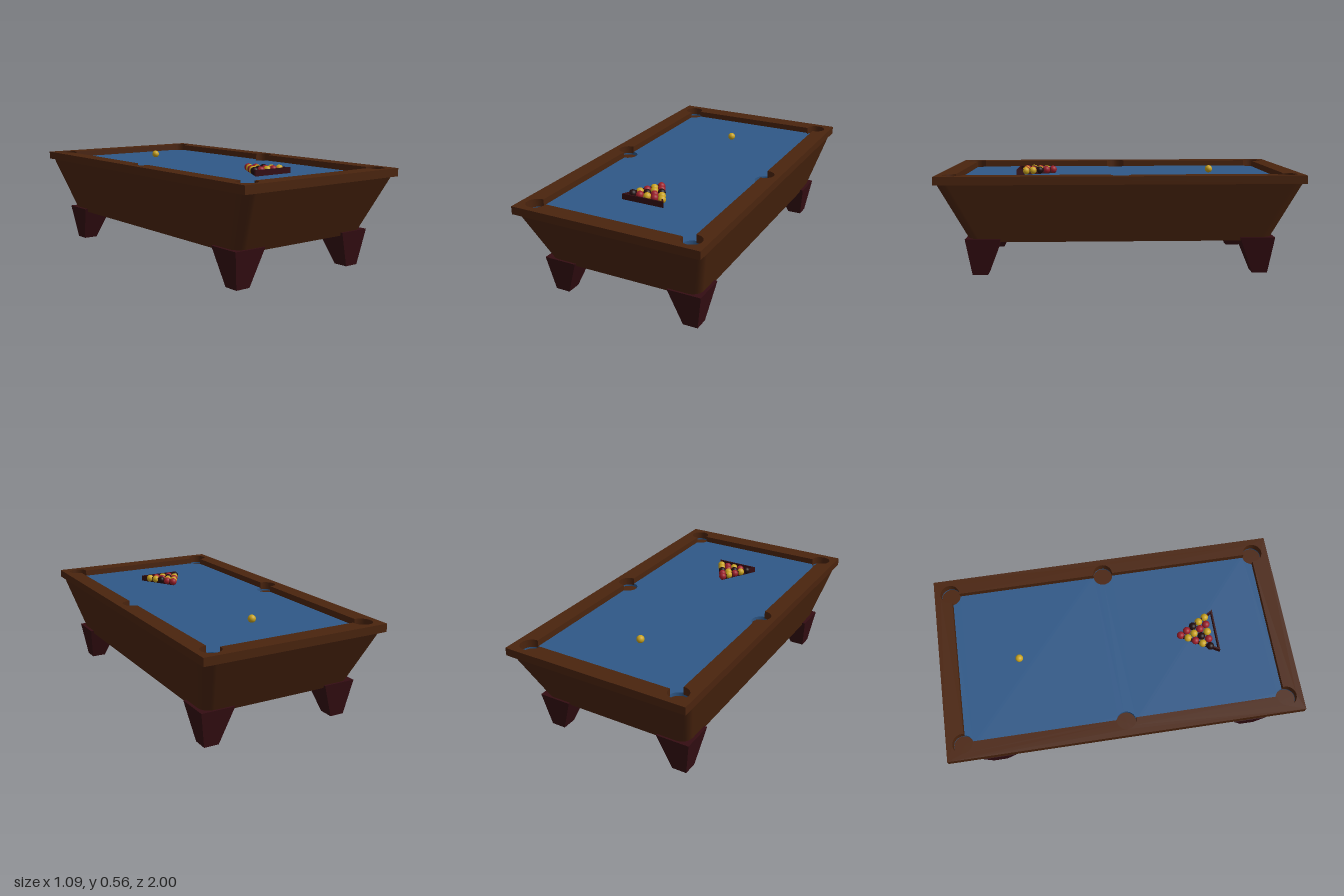
import * as THREE from 'three';

const mat = (name, color) => Object.assign(new THREE.MeshStandardMaterial({ color }), { name });

export function createModel() {
  const wood = mat('brown wood', 0x4a240e);
  const cloth = mat('blue cloth', 0x2f5887);
  const darkWood = mat('dark red wood', 0x340d12);
  const yellow = mat('yellow', 0xc9a31f);
  const red = mat('red', 0x9c1f2b);
  const black = mat('black', 0x200c0e);

  const table = new THREE.Group();
  table.name = 'poolTable';
  const add = (name, geometry, material, x = 0, y = 0, z = 0, parent = table) => {
    const mesh = new THREE.Mesh(geometry, material);
    mesh.name = name;
    mesh.position.set(x, y, z);
    parent.add(mesh);
    return mesh;
  };

  // Horizontal slab from a plan shape (shape y becomes z), hanging below y = 0
  const slab = (shape, depth) =>
    new THREE.ExtrudeGeometry(shape, { depth, bevelEnabled: false, curveSegments: 24 }).rotateX(Math.PI / 2);
  const rect = (w, d) => new THREE.Shape(
    [[-w, -d], [w, -d], [w, d], [-w, d]].map(([x, z]) => new THREE.Vector2(x, z)));

  const TOP = 0.555, BED = 0.52, R = 0.055;
  const PX = 0.455, PZ = 0.91;   // pocket centres
  const IX = 0.45, IZ = 0.9;     // inner edges of the rails
  const a = Math.asin((PX - IX) / R), b = Math.asin((PZ - IZ) / R), H = Math.PI / 2;

  // Rails: one frame whose opening bulges around the six pockets
  const opening = new THREE.Path();
  opening.absarc(PX, 0, R, -H - a, H + a, false);
  opening.absarc(PX, PZ, R, -H - a, 2 * H + b, false);
  opening.absarc(-PX, PZ, R, -b, 3 * H + a, false);
  opening.absarc(-PX, 0, R, H - a, 3 * H + a, false);
  opening.absarc(-PX, -PZ, R, H - a, 4 * H + b, false);
  opening.absarc(PX, -PZ, R, -2 * H - b, H + a, false);
  opening.closePath();
  const frame = rect(0.545, 1);
  frame.holes.push(opening);
  add('rails', slab(frame, 0.045), wood, 0, TOP, 0);

  // Cloth bed with pocket holes, and a floor in each pocket
  const bed = rect(0.515, 0.968);
  for (const x of [-PX, PX]) for (const z of [-PZ, 0, PZ]) {
    bed.holes.push(new THREE.Path().absarc(x, z, R + 0.001, 0, Math.PI * 2, true));
    add('pocketFloor', new THREE.CylinderGeometry(R + 0.003, R + 0.003, 0.008, 32), wood, x, 0.496, z);
  }
  add('playingCloth', slab(bed, 0.02), cloth, 0, BED, 0);

  // Tapered body: two rounded rectangles joined by smooth walls
  const ring = (w, d, r, y) => {
    const pts = [];
    [[1, 1], [-1, 1], [-1, -1], [1, -1]].forEach(([sx, sz], q) => {
      for (let i = 0; i <= 6; i++) {
        const t = (q + i / 6) * H;
        pts.push(sx * (w - r) + r * Math.cos(t), y, sz * (d - r) + r * Math.sin(t));
      }
    });
    return pts;
  };
  const lower = ring(0.45, 0.83, 0.06, 0.185), upper = ring(0.54, 0.995, 0.07, 0.512);
  const n = lower.length / 3, index = [];
  for (let i = 0; i < n; i++) {
    const j = (i + 1) % n;
    index.push(i, n + i, j, j, n + i, n + j);
  }
  const walls = new THREE.BufferGeometry();
  walls.setAttribute('position', new THREE.Float32BufferAttribute([...lower, ...upper], 3));
  walls.setIndex(index);
  walls.computeVertexNormals();
  add('bodyWalls', walls, wood);
  const base = new THREE.Shape();
  for (let i = 0; i < n; i++) base[i ? 'lineTo' : 'moveTo'](lower[3 * i], lower[3 * i + 2]);
  add('bodyBottom', slab(base, 0.001), wood, 0, 0.186, 0);

  // Legs: square blocks tapering to the floor, leaning outward
  for (const sx of [-1, 1]) for (const sz of [-1, 1]) {
    const g = new THREE.BoxGeometry(1, 1, 1);
    const p = g.attributes.position;
    for (let i = 0; i < p.count; i++) {
      const up = p.getY(i) > 0;
      const size = up ? 0.193 : 0.085;
      p.setXYZ(i,
        sx * (up ? 0.377 : 0.398) + p.getX(i) * size,
        up ? 0.205 : 0,
        sz * (up ? 0.755 : 0.777) + p.getZ(i) * size);
    }
    const leg = g.toNonIndexed();
    leg.computeVertexNormals();
    add('leg', leg, darkWood);
  }

  // Balls: a triangle of fifteen and a single cue ball
  const r = 0.022;
  const ballGeometry = new THREE.SphereGeometry(r, 24, 16);
  const balls = new THREE.Group();
  balls.name = 'balls';
  table.add(balls);
  const paint = { y: yellow, r: red, b: black };
  ['r', 'yr', 'ryb', 'ybry', 'bryry'].forEach((row, k) => {
    [...row].forEach((c, i) =>
      add('ball', ballGeometry, paint[c], (i - k / 2) * 0.045, BED + r, 0.39 + k * 0.039, balls));
  });
  add('cueBall', ballGeometry, yellow, 0, BED + r, -0.55, balls);

  // Triangular rack around the balls
  const triangle = (Type, w, apex, back) => new Type(
    [[0, apex], [w, back], [-w, back]].map(([x, z]) => new THREE.Vector2(x, z)));
  const rack = triangle(THREE.Shape, 0.127, 0.377, 0.597);
  rack.holes.push(triangle(THREE.Path, 0.113, 0.393, 0.589));
  add('rack', slab(rack, 0.033), darkWood, 0, BED + 0.033, 0);

  return table;
}
